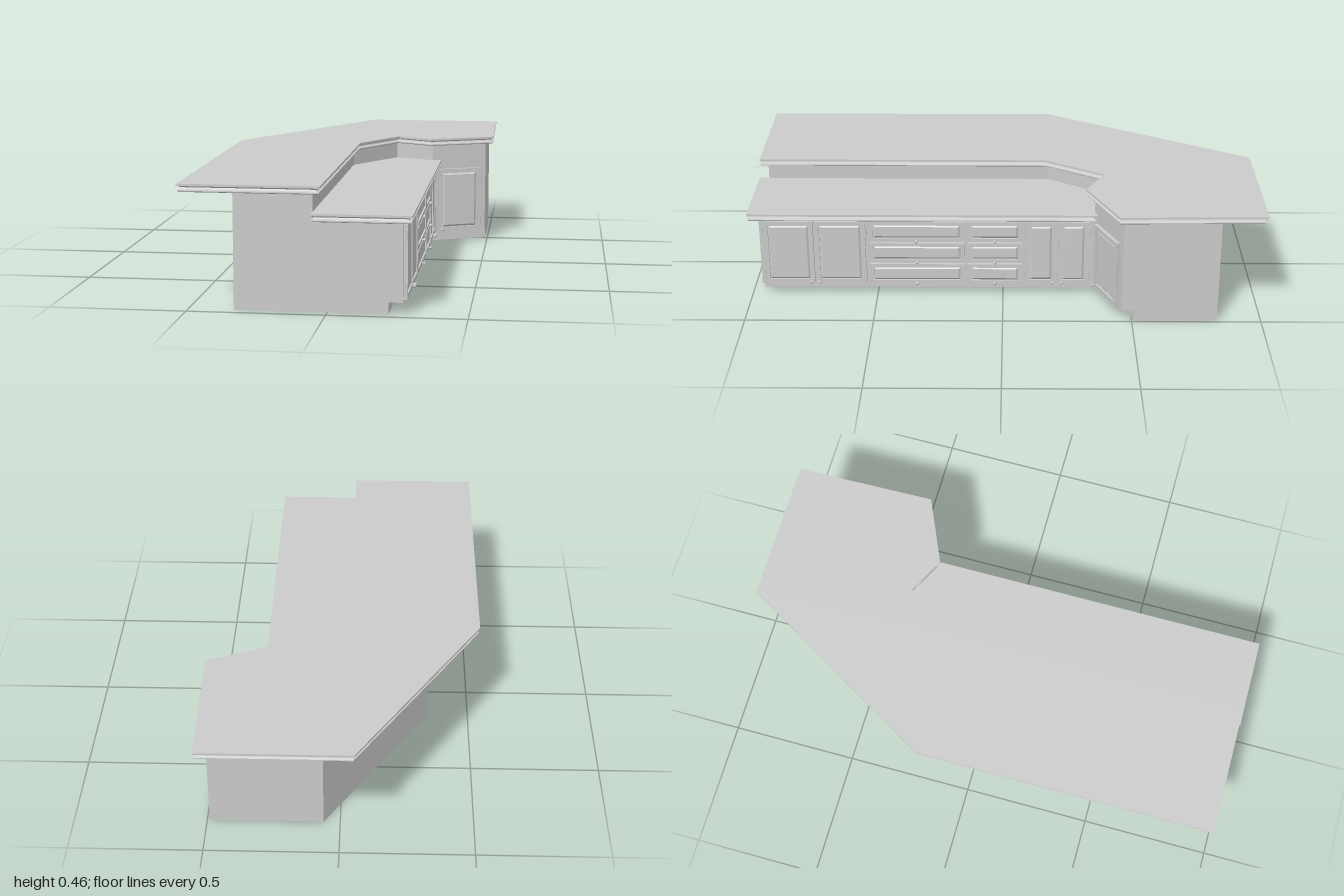
import * as THREE from 'three';

const mat = new THREE.MeshStandardMaterial({ color: 0xcccccc, side: THREE.DoubleSide, flatShading: true });
const smooth = new THREE.MeshStandardMaterial({ color: 0xcccccc });

function mesh(geometry, name, material = mat) {
  const m = new THREE.Mesh(geometry, material);
  m.name = name;
  return m;
}

function fromPositions(pos) {
  const g = new THREE.BufferGeometry();
  g.setAttribute('position', new THREE.Float32BufferAttribute(pos, 3));
  g.computeVertexNormals();
  return g;
}

// Quads between a lower and an upper line of [x, z] points
function strip(low, y0, high, y1) {
  const pos = [];
  for (let i = 0; i < low.length - 1; i++) {
    const [a, b, c, d] = [low[i], low[i + 1], high[i + 1], high[i]];
    pos.push(a[0], y0, a[1], b[0], y0, b[1], c[0], y1, c[1]);
    pos.push(a[0], y0, a[1], c[0], y1, c[1], d[0], y1, d[1]);
  }
  return fromPositions(pos);
}
const wall = (pts, y0, y1) => strip(pts, y0, pts, y1);

// Moves every edge of a plan outline inwards, with mitred corners
function inset(pts, amount) {
  const n = pts.length;
  const normal = (p, q) => new THREE.Vector2(q[1] - p[1], q[0] - p[0]).normalize();
  return pts.map((p, i) => {
    const n1 = normal(pts[(i + n - 1) % n], p), n2 = normal(p, pts[(i + 1) % n]);
    const k = amount / (1 + n1.dot(n2));
    return [p[0] + (n1.x + n2.x) * k, p[1] - (n1.y + n2.y) * k];
  });
}

// Solid slab with a moulded edge; edge rows are [inset, height]
const EDGE = [[0.007, 0], [0.003, 0.003], [0.003, 0.007], [0.012, 0.011], [0.014, 0.016], [0.008, 0.02], [0, 0.022], [0, 0.03]];
function counter(outline, y) {
  const rings = EDGE.map(([d]) => inset(outline, d));
  const pos = [];
  for (let k = 0; k < EDGE.length - 1; k++) {
    const low = [...rings[k], rings[k][0]], high = [...rings[k + 1], rings[k + 1][0]];
    const side = strip(low, y + EDGE[k][1], high, y + EDGE[k + 1][1]);
    pos.push(...side.attributes.position.array);
  }
  const tris = THREE.ShapeUtils.triangulateShape(outline.map(([x, z]) => new THREE.Vector2(x, -z)), []);
  const cap = (ring, h, order) => {
    for (const t of tris) for (const i of order) pos.push(ring[t[i]][0], h, ring[t[i]][1]);
  };
  cap(rings[0], y, [2, 1, 0]);
  cap(rings[rings.length - 1], y + 0.03, [0, 1, 2]);
  return fromPositions(pos);
}

function shapeOf(points) {
  return new THREE.Shape(points.map(([x, y]) => new THREE.Vector2(x, y)));
}

const rect = (w, h) => [[-w / 2, -h / 2], [w / 2, -h / 2], [w / 2, h / 2], [-w / 2, h / 2]];

const knobProfile = [[0, 0], [0.004, 0], [0.003, 0.006], [0.007, 0.01], [0.006, 0.014], [0, 0.016]]
  .map(([r, y]) => new THREE.Vector2(r, y));

// Framed front with a raised centre panel, faces local +z
function panelFront(w, h, name, rail) {
  const g = new THREE.Group();
  g.name = name;
  const frame = shapeOf(rect(w, h));
  frame.holes.push(new THREE.Path(rect(w - 2 * rail, h - 2 * rail).reverse().map(([x, y]) => new THREE.Vector2(x, y))));
  g.add(mesh(new THREE.ExtrudeGeometry(frame, { depth: 0.014, bevelEnabled: false }), name + 'Frame'));
  const b = 0.008;
  const panel = new THREE.ExtrudeGeometry(shapeOf(rect(w - 2 * rail - 2 * b, h - 2 * rail - 2 * b)),
    { depth: 0.002, bevelThickness: 0.006, bevelSize: b, bevelSegments: 1 });
  panel.translate(0, 0, 0.003);
  g.add(mesh(panel, name + 'Panel'));
  return g;
}

function addKnob(g, x, y) {
  const k = mesh(new THREE.LatheGeometry(knobProfile, 12), 'knob', smooth);
  k.rotation.x = Math.PI / 2;
  k.position.set(x, y, 0.013);
  g.add(k);
}

// hingeSide: -1 hinges on local left, +1 on local right
function door(w, h, hingeSide) {
  const g = panelFront(w, h, 'door', 0.018);
  addKnob(g, -hingeSide * (w / 2 - 0.014), -h / 2 + 0.01);
  for (const s of [-1, 1]) {
    const hinge = mesh(new THREE.CylinderGeometry(0.004, 0.004, 0.036, 8), 'hinge', smooth);
    hinge.position.set(hingeSide * (w / 2 + 0.002), s * (h / 2 - 0.04), 0.011);
    g.add(hinge);
  }
  return g;
}

export function createModel() {
  const model = new THREE.Group();
  model.name = 'kitchenIsland';

  // Counters, outlines as [x, z]
  model.add(mesh(counter([[-0.53, 0.99], [-0.02, 0.99], [-0.02, -0.17], [0.12, -0.4], [0.265, -0.325],
    [0.525, -0.44], [0.515, -1], [-0.055, -1], [-0.53, -0.19]], 0.425), 'barCounter'));
  model.add(mesh(counter([[-0.053, 1], [0.305, 1], [0.305, -0.37], [0.27, -0.36], [0.11, -0.43],
    [-0.053, -0.18]], 0.33), 'workCounter'));

  // Base shell, open underneath
  const face = [[0.27, 0.96], [0.27, -0.36], [0.49, -0.46]];
  const toe = [[0.218, 0.96], [0.218, -0.39], [0.49, -0.51]];
  const toeY = 0.043, barY = 0.425;
  model.add(mesh(wall([[0.49, -0.83], [0.063, -0.83], [-0.335, -0.164], [-0.335, 0.96]], 0, barY), 'outerWall'));
  model.add(mesh(wall([[0.27, -0.36], [0.11, -0.43], [-0.05, -0.18], [-0.05, 0.96]].reverse(), 0.33, barY), 'splashWall'));
  model.add(mesh(wall(face.slice(0, 2), toeY, 0.335), 'cabinetFace'));
  model.add(mesh(wall(face.slice(1), toeY, barY), 'cornerCabinetFace'));
  model.add(mesh(wall(toe, 0, toeY), 'toeKick'));
  model.add(mesh(strip(face, toeY, toe, toeY), 'toeKickTop'));

  // End walls with the toe notch
  const frontEnd = mesh(new THREE.ShapeGeometry(shapeOf([[-0.335, 0], [0.218, 0], [0.218, toeY], [0.27, toeY],
    [0.27, 0.335], [-0.05, 0.335], [-0.05, barY], [-0.335, barY]])), 'frontEndWall');
  frontEnd.position.z = 0.96;
  const sideEnd = mesh(new THREE.ShapeGeometry(shapeOf([[0.51, 0], [0.83, 0], [0.83, barY], [0.46, barY],
    [0.46, toeY], [0.51, toeY]])), 'sideEndWall');
  sideEnd.rotation.y = Math.PI / 2;
  sideEnd.position.x = 0.49;
  model.add(frontEnd, sideEnd);

  // Doors and drawers along the long side, spans as [z start, z end, hinge side]
  const long = new THREE.Group();
  long.name = 'longSideFronts';
  long.position.x = 0.27;
  long.rotation.y = Math.PI / 2;
  for (const [z0, z1, side] of [[0.943, 0.748, -1], [0.742, 0.543, 1], [-0.09, -0.21, -1], [-0.218, -0.338, 1]]) {
    const d = door(z0 - z1, 0.27, side);
    d.position.set(-(z0 + z1) / 2, 0.185, 0);
    long.add(d);
  }
  for (const [z0, z1] of [[0.527, 0.153], [0.14, -0.075]]) {
    for (let i = 0; i < 3; i++) {
      const d = panelFront(z0 - z1, 0.086, 'drawer', 0.015);
      addKnob(d, 0, -0.037);
      d.position.set(-(z0 + z1) / 2, 0.093 + i * 0.092, 0);
      long.add(d);
    }
  }
  model.add(long);

  // Door of the angled corner cabinet
  const corner = door(0.19, 0.27, 1);
  corner.name = 'cornerDoor';
  corner.position.set(0.378, 0.185, -0.409);
  corner.rotation.y = Math.atan2(0.1, 0.22);
  model.add(corner);

  return model;
}
